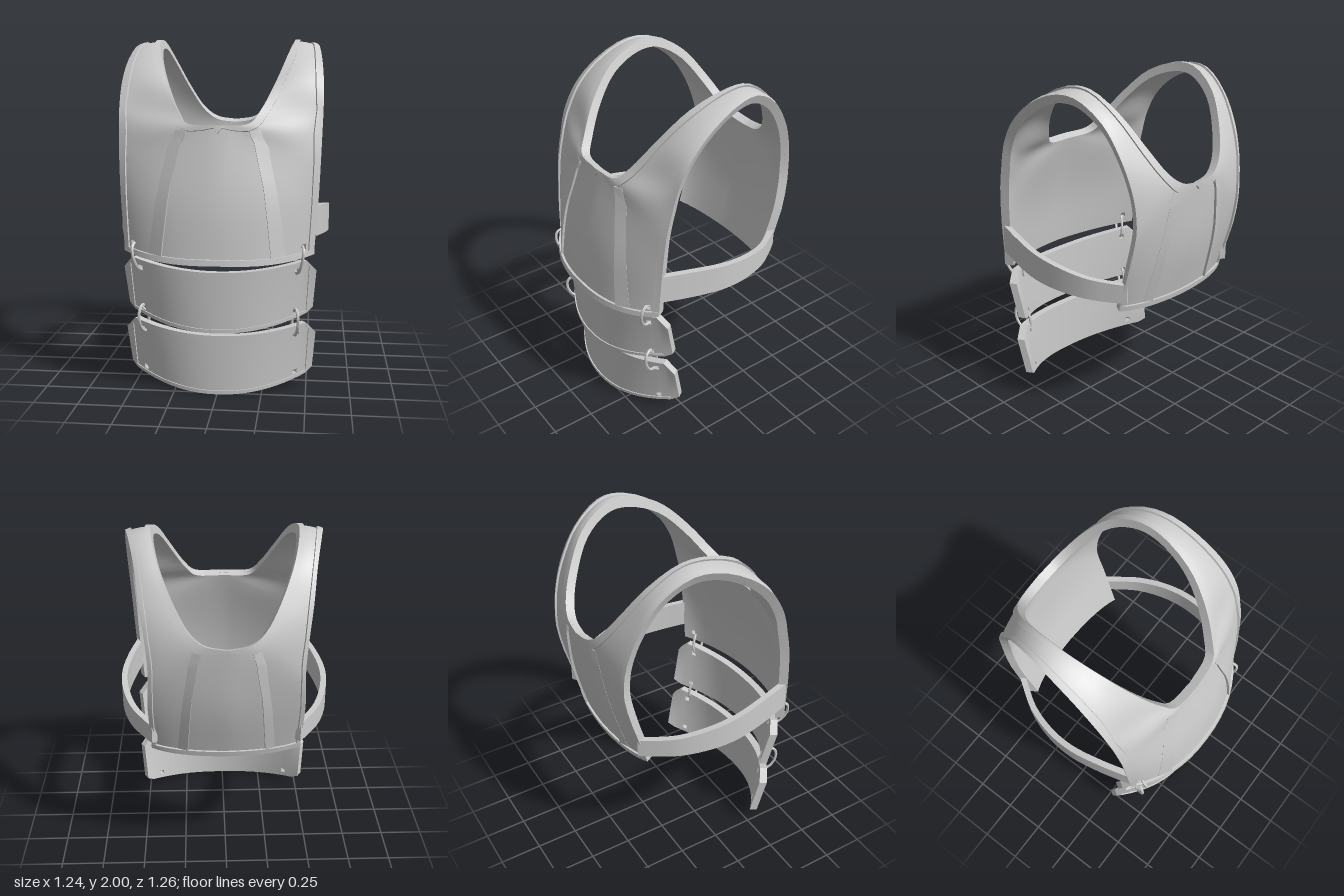
import * as THREE from 'three';
import { mergeGeometries, toCreasedNormals } from 'three/addons/utils/BufferGeometryUtils.js';

const V = (x, y, z) => new THREE.Vector3(x, y, z);
const lerp = THREE.MathUtils.lerp;
const range = (a, b, n) => Array.from({ length: n + 1 }, (_, i) => lerp(a, b, i / n));
const material = new THREE.MeshStandardMaterial({ color: 0xcccccc, roughness: 0.8 });

// Closed solid between two surfaces on a grid; skipped cells become holes with walls
function shell(outer, inner, us, vs, skip = () => false) {
  const O = us.map(u => vs.map(v => outer(u, v)));
  const I = us.map(u => vs.map(v => inner(u, v)));
  const nu = us.length - 1, nv = vs.length - 1;
  const open = (i, j) => i < 0 || j < 0 || i >= nu || j >= nv ||
    skip((us[i] + us[i + 1]) / 2, (vs[j] + vs[j + 1]) / 2);
  const tris = [];
  const quad = (a, b, c, d) => tris.push([a, b, c], [a, c, d]);
  for (let i = 0; i < nu; i++) for (let j = 0; j < nv; j++) {
    if (open(i, j)) continue;
    const c = [[i, j], [i + 1, j], [i + 1, j + 1], [i, j + 1]];
    const o = c.map(([a, b]) => O[a][b]), n = c.map(([a, b]) => I[a][b]);
    quad(...o);
    quad(n[3], n[2], n[1], n[0]);
    [[i, j - 1], [i + 1, j], [i, j + 1], [i - 1, j]].forEach(([a, b], k) => {
      const m = (k + 1) % 4;
      if (open(a, b)) quad(o[m], o[k], n[k], n[m]);
    });
  }
  // turn the faces outward
  let volume = 0;
  for (const [a, b, c] of tris) volume += a.dot(b.clone().cross(c));
  const pts = tris.flatMap(([a, b, c]) => (volume < 0 ? [a, c, b] : [a, b, c]));
  return new THREE.BufferGeometry().setFromPoints(pts);
}

// Geometry joined with its reflection in x
function mirrored(geo) {
  const p = geo.attributes.position, pts = [];
  for (let i = 0; i < p.count; i += 3)
    for (const k of [i, i + 2, i + 1]) pts.push(V(-p.getX(k), p.getY(k), p.getZ(k)));
  return mergeGeometries([geo, new THREE.BufferGeometry().setFromPoints(pts)]);
}

function part(name, geo) {
  const mesh = new THREE.Mesh(toCreasedNormals(geo, 0.55), material);
  mesh.name = name;
  return mesh;
}

// Half of the vest: centre/neck edge, middle and armhole edge, from front hem over the shoulder to back hem
const ROWS = [
  [[0, .77, .615], [.3, .775, .57], [.53, .81, .43]],
  [[0, 1.1, .575], [.31, 1.1, .53], [.55, 1.1, .42]],
  [[0, 1.52, .475], [.32, 1.38, .465], [.56, 1.33, .4]],
  [[.17, 1.53, .455], [.35, 1.5, .435], [.565, 1.47, .37]],
  [[.23, 1.6, .4], [.4, 1.6, .36], [.57, 1.6, .335]],
  [[.31, 1.76, .28], [.44, 1.77, .27], [.57, 1.75, .25]],
  [[.37, 1.91, .12], [.47, 1.9, .12], [.56, 1.875, .11]],
  [[.4, 1.985, -.08], [.47, 1.98, -.08], [.54, 1.96, -.08]],
  [[.395, 1.98, -.22], [.455, 1.975, -.22], [.515, 1.955, -.22]],
  [[.36, 1.88, -.38], [.43, 1.87, -.38], [.48, 1.85, -.375]],
  [[.28, 1.7, -.51], [.38, 1.69, -.5], [.455, 1.68, -.485]],
  [[.2, 1.57, -.58], [.34, 1.56, -.56], [.43, 1.5, -.545]],
  [[.12, 1.51, -.61], [.3, 1.45, -.59], [.42, 1.38, -.56]],
  [[0, 1.49, -.622], [.27, 1.35, -.595], [.42, 1.28, -.56]],
  [[0, 1.1, -.585], [.26, 1.1, -.56], [.43, 1.1, -.525]],
  [[0, .77, -.5], [.25, .775, -.48], [.42, .79, -.43]],
];
const curve = (col, a, b) => {
  const c = new THREE.CatmullRomCurve3(ROWS.slice(a, b + 1).map(r => V(...r[col])));
  return t => c.getPoint(THREE.MathUtils.clamp((t - a) / (b - a), 0, 1));
};
const centreFront = curve(0, 0, 2), neck = curve(0, 2, 13), centreBack = curve(0, 13, 15);
const middle = curve(1, 0, 15), armhole = curve(2, 0, 15);

// Point on the vest, lifted by h along the outward direction
function vest(u, t, h = 0) {
  const edge = (t < 2 ? centreFront : t <= 13 ? neck : centreBack)(t);
  const p = edge.multiplyScalar((1 - u) * (1 - 2 * u))
    .addScaledVector(middle(t), 4 * u * (1 - u))
    .addScaledVector(armhole(t), u * (2 * u - 1));
  const out = V(p.x * 0.5, Math.max(0, p.y - 1.3), p.z + 0.08).normalize();
  if (u === 0 && (t <= 2 || t >= 13)) out.x = p.x = 0;
  return p.addScaledVector(out, h);
}

// Raised strip between two lines on the vest; path rows are [uA, tA, uB, tB]
function strip(path, hA, hB) {
  const at = (w, k, top) => {
    const i = Math.min(Math.floor(k), path.length - 2), f = k - i;
    const [a, b, c, d] = path[i].map((v, n) => lerp(v, path[i + 1][n], f));
    return vest(lerp(a, c, w), lerp(b, d, w), top ? lerp(hA, hB, w) : -0.015);
  };
  const n = path.length - 1;
  return mirrored(shell((w, k) => at(w, k, true), (w, k) => at(w, k, false), [0, 0.5, 1], range(0, n, n * 8)));
}

// Curved waist plate with clipped corners, lacing holes and a raised frame
function waistPlate(name, dy, dz) {
  const half = [.1, .2, .3, .4, .5, .6, .7, .795, .84, .9, .93, 1];
  const us = [...half.map(s => -s).reverse(), 0, ...half];
  const vs = [0, .06, .08, .16, .32, .5, .66, .8, .89, .94, 1];
  const at = h => (s, v) => {
    const a = Math.abs(s);
    const top = a <= .9 ? .72 + .05 * (a / .9) ** 2 : lerp(.77, .705, (a - .9) / .1);
    const low = a <= .93 ? .375 + .075 * (a / .93) ** 2 : lerp(.45, .48, (a - .93) / .07);
    const z = .57 - .185 * a ** 2.2 - .05 * (1 - v) * s * s;
    const p = V(s * (.53 + .018 * v), lerp(low, top, v) + dy, z + dz);
    return p.addScaledVector(V(s * .65, 0, 1).normalize(), h);
  };
  const hole = (s, v) => Math.abs(Math.abs(s) - .8175) < .02 && (Math.abs(v - .12) < .03 || Math.abs(v - .845) < .04);
  const field = (s, v) => Math.abs(s) < .93 && v > .06 && v < .94;
  const g = new THREE.Group();
  g.name = name;
  g.add(part('plate', shell(at(0), at(-.038), us, vs, hole)),
    part('plateFrame', shell(at(.007), at(-.01), us, vs, field)));
  return g;
}

// Oval wire loop that ties two plates together
function ring(x, y, z, lean) {
  const pts = range(0, 2 * Math.PI, 20).slice(0, 20).map(a => {
    const r = .052 * Math.cos(a), s = .08 * Math.sin(a);
    return V(x + r * .35 + s * lean, y + s, z + r * .94 + s * .2);
  });
  const tube = new THREE.TubeGeometry(new THREE.CatmullRomCurve3(pts, true), 32, .009, 6, true).toNonIndexed();
  tube.deleteAttribute('uv');
  tube.deleteAttribute('normal');
  return mirrored(tube);
}

// Side belt from front plate to back plate: x, z, top, bottom
function belt() {
  const rows = [
    [.545, .43, 1.08, .91], [.59, .25, 1.065, .895], [.62, .05, 1.04, .88], [.607, -.12, 1.015, .87],
    [.55, -.3, .985, .86], [.47, -.43, .97, .855], [.42, -.5, .965, .855],
  ];
  const edge = n => new THREE.CatmullRomCurve3(rows.map(r => V(r[0], r[n], r[1])));
  const top = edge(2), low = edge(3);
  const at = h => (k, v) => {
    const p = low.getPoint(k).lerp(top.getPoint(k), v);
    return p.addScaledVector(V(p.x, 0, p.z * .6).normalize(), h);
  };
  return mirrored(shell(at(0), at(-.035), range(0, 1, 24), [0, 1]));
}

export function createModel() {
  const model = new THREE.Group();
  model.name = 'chestArmour';

  // Main shell with lacing holes near the front hem
  const us = [0, .1, .2, .3, .4, .5, .6, .7, .8, .85, .895, .95, 1];
  const ts = [0, .1, .14, .24, .4, ...range(.5, 15, 58)];
  const laceHole = (u, t) => u > .85 && u < .895 && t > .14 && t < .24;
  model.add(part('vestShell', mirrored(shell((u, t) => vest(u, t), (u, t) => vest(u, t, -.042), us, ts, laceHole))));

  // Raised borders
  model.add(part('armholeRim', strip([[1, 0, .93, 0], [1, 4, .9, 4], [1, 6, .78, 6], [1, 9, .75, 9],
    [1, 11, .88, 11], [1, 15, .92, 15]], .012, .012)));
  model.add(part('neckRim', strip([[0, 2, 0, 1.9], [0, 2.2, .09, 2.15], [0, 2.6, .17, 2.5], [0, 3, .17, 3],
    [0, 4, .15, 4], [0, 6, .22, 6], [0, 9, .22, 9], [0, 11, .17, 11], [0, 12, .17, 12],
    [0, 12.4, .17, 12.5], [0, 12.8, .09, 12.85], [0, 13, 0, 13.1]], .012, .012)));
  model.add(part('frontHem', strip([[0, 0, 0, .1], [1, 0, 1, .1]], .016, .014)));
  model.add(part('backHem', strip([[0, 15, 0, 14.9], [1, 15, 1, 14.9]], .016, .014)));

  // Sloped ribs beside the centre panels
  const rib = [[.17, 2.5, .24, 2.8], [.3, 2, .42, 2.1], [.4, 1.3, .52, 1.35], [.5, .1, .66, .1]];
  model.add(part('frontRibs', strip(rib, .014, .001)));
  model.add(part('backRibs', strip(rib.map(([a, b, c, d]) => [a * .85, 15 - b, c * .85, 15 - d]), .014, .001)));

  model.add(part('sideBelts', belt()));

  // Hanging waist plates and their rings
  model.add(waistPlate('upperWaistPlate', 0, 0), waistPlate('lowerWaistPlate', -.375, -.05));
  model.add(part('upperRings', ring(.455, .78, .465, .2)), part('lowerRings', ring(.435, .41, .425, .05)));
  return model;
}
